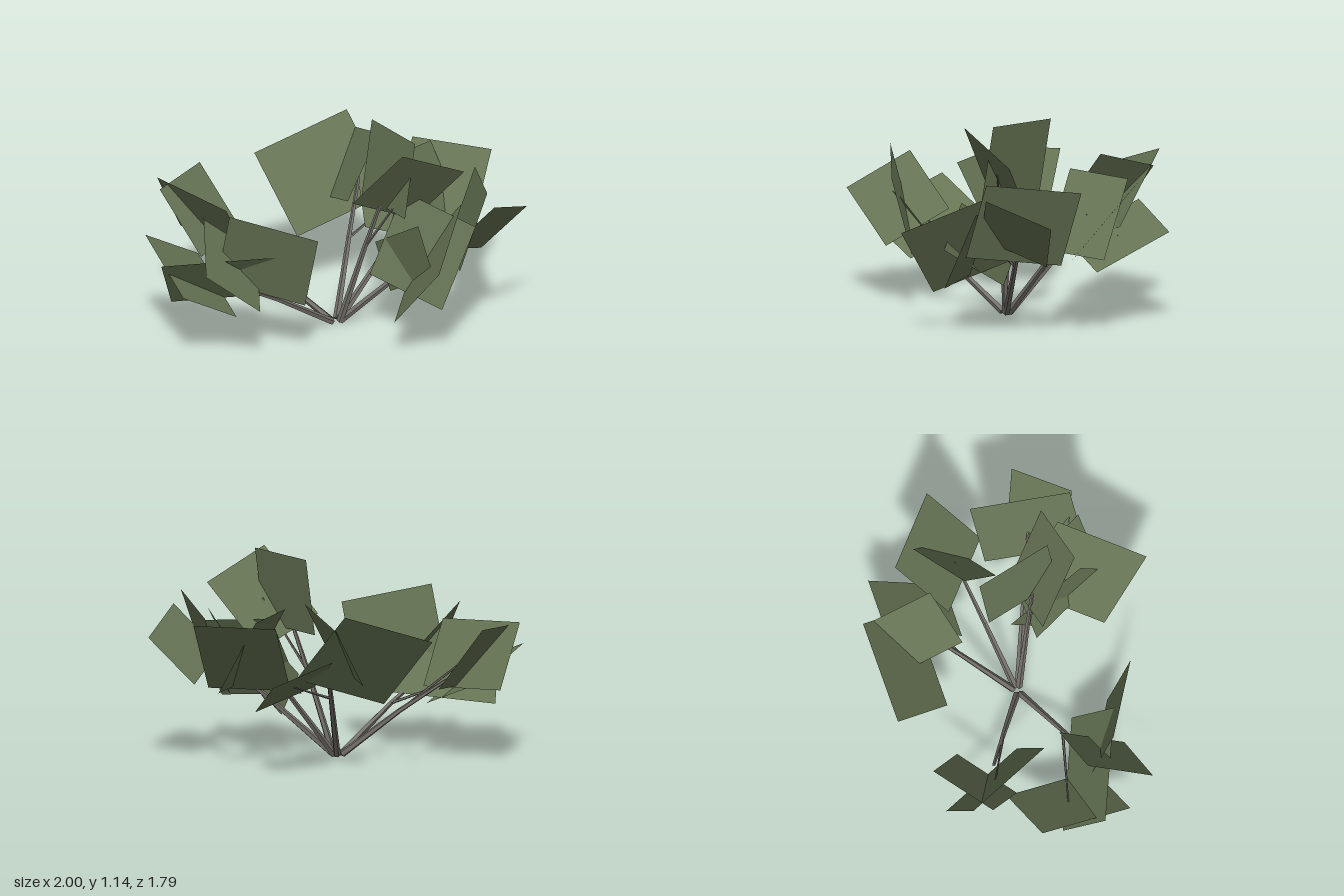
import * as THREE from 'three';

const leafMat = new THREE.MeshStandardMaterial({ name: 'leafGreen', color: 0x667454, side: THREE.DoubleSide });
const barkMat = new THREE.MeshStandardMaterial({ name: 'barkGrey', color: 0x74706a, flatShading: true });
const UP = new THREE.Vector3(0, 1, 0);
const vec = (p) => new THREE.Vector3(...p);

// flat leaf hanging from its upper edge a-b, swung out of the vertical by some degrees
function leafCard(a, b, swing, drop = 0.46) {
  const start = vec(a);
  const edge = vec(b).sub(start);
  const width = edge.length();
  edge.normalize();
  const side = UP.clone().cross(edge).normalize();
  const rise = edge.clone().cross(side);
  const angle = THREE.MathUtils.degToRad(swing);
  const up = rise.multiplyScalar(Math.cos(angle)).addScaledVector(side, -Math.sin(angle));
  const geo = new THREE.PlaneGeometry(width, drop).translate(width / 2, -drop / 2, 0);
  geo.applyMatrix4(new THREE.Matrix4().makeBasis(edge, up, edge.clone().cross(up)));
  const mesh = new THREE.Mesh(geo, leafMat);
  mesh.name = 'leaf';
  mesh.position.copy(start);
  return mesh;
}

// tapered straight piece of wood
function wood(name, from, to, r0, r1) {
  const dir = to.clone().sub(from);
  const mesh = new THREE.Mesh(new THREE.CylinderGeometry(r1, r0, dir.length(), 5), barkMat);
  mesh.name = name;
  mesh.position.copy(from).addScaledVector(dir, 0.5);
  mesh.quaternion.setFromUnitVectors(UP, dir.normalize());
  return mesh;
}

// bent stem from the root, a twig to the last leaf, and the leaves
function spray(name, tipPoint, leaves) {
  const group = new THREE.Group();
  group.name = name;
  const tip = vec(tipPoint);
  const root = new THREE.Vector3(tip.x, 0, tip.z).setLength(0.025);
  const bend = root.clone().lerp(tip, 0.55);
  bend.y += 0.015;
  group.add(wood('lowerStem', root, bend, 0.02, 0.014), wood('upperStem', bend, tip, 0.014, 0.009));

  const cards = leaves.map((leaf) => leafCard(...leaf));
  const last = cards[cards.length - 1];
  last.geometry.computeBoundingBox();
  const leafCentre = last.geometry.boundingBox.getCenter(new THREE.Vector3()).add(last.position);
  group.add(wood('twig', bend, leafCentre, 0.009, 0.004), ...cards);
  return group;
}

export function createModel() {
  const model = new THREE.Group();
  model.name = 'shrub';
  model.add(
    spray('middleSpray', [0.28, 0.8, 0.01], [
      [[0.14, 1.105, -0.25], [0.46, 1.12, 0.05], -10, 0.43],
      [[0.43, 1.11, 0.21], [0.71, 0.94, -0.05], 36, 0.48],
    ]),
    spray('leftSpray', [0.7, 0.58, -0.12], [
      [[0.72, 0.58, 0.54], [0.72, 0.79, 0.04], 35, 0.51],
      [[0.87, 0.88, 0.07], [0.67, 0.8, -0.44], 20],
      [[0.91, 0.8, 0.07], [1, 0.665, -0.29], 40, 0.36],
      [[0.2, 0.45, -0.09], [0.52, 0.71, 0.22], 2, 0.28],
      [[0.35, 0.755, -0.12], [0.82, 0.7, 0.13], -27, 0.49],
    ]),
    spray('frontSpray', [-0.44, 0.4, 0.56], [
      [[-0.43, 0.845, 0.65], [0.06, 0.74, 0.62], 14],
      [[-0.8, 0.53, 0.7], [-0.18, 0.605, 0.59], 37, 0.39],
      [[-0.5, 0.58, 0.89], [-0.6, 0.77, 0.55], -44, 0.43],
      [[-0.97, 0.57, 0.39], [-0.65, 0.4, 0.8], 59, 0.4],
    ]),
    spray('rightSpray', [-0.6, 0.42, 0.02], [
      [[-0.83, 0.74, -0.26], [-0.96, 0.72, 0.11], 37, 0.43],
      [[-1, 0.745, 0.01], [-0.54, 0.715, 0.29], 29, 0.4],
    ]),
    spray('backSpray', [-0.01, 0.62, -0.55], [
      [[-0.59, 0.71, -0.52], [-0.15, 0.885, -0.83], -40, 0.52],
      [[0.11, 0.905, -0.52], [-0.1, 0.8, -0.8], 33, 0.41],
      [[0.235, 0.5, -0.9], [-0.07, 0.62, -0.72], 63],
    ]),
    spray('backLeftSpray', [0.38, 0.58, -0.42], [
      [[0.24, 0.8, -0.75], [0.7, 0.8, -0.69], -39, 0.5],
      [[0.36, 0.82, -0.68], [0.24, 0.85, -0.36], 31, 0.48],
    ]),
  );
  return model;
}
